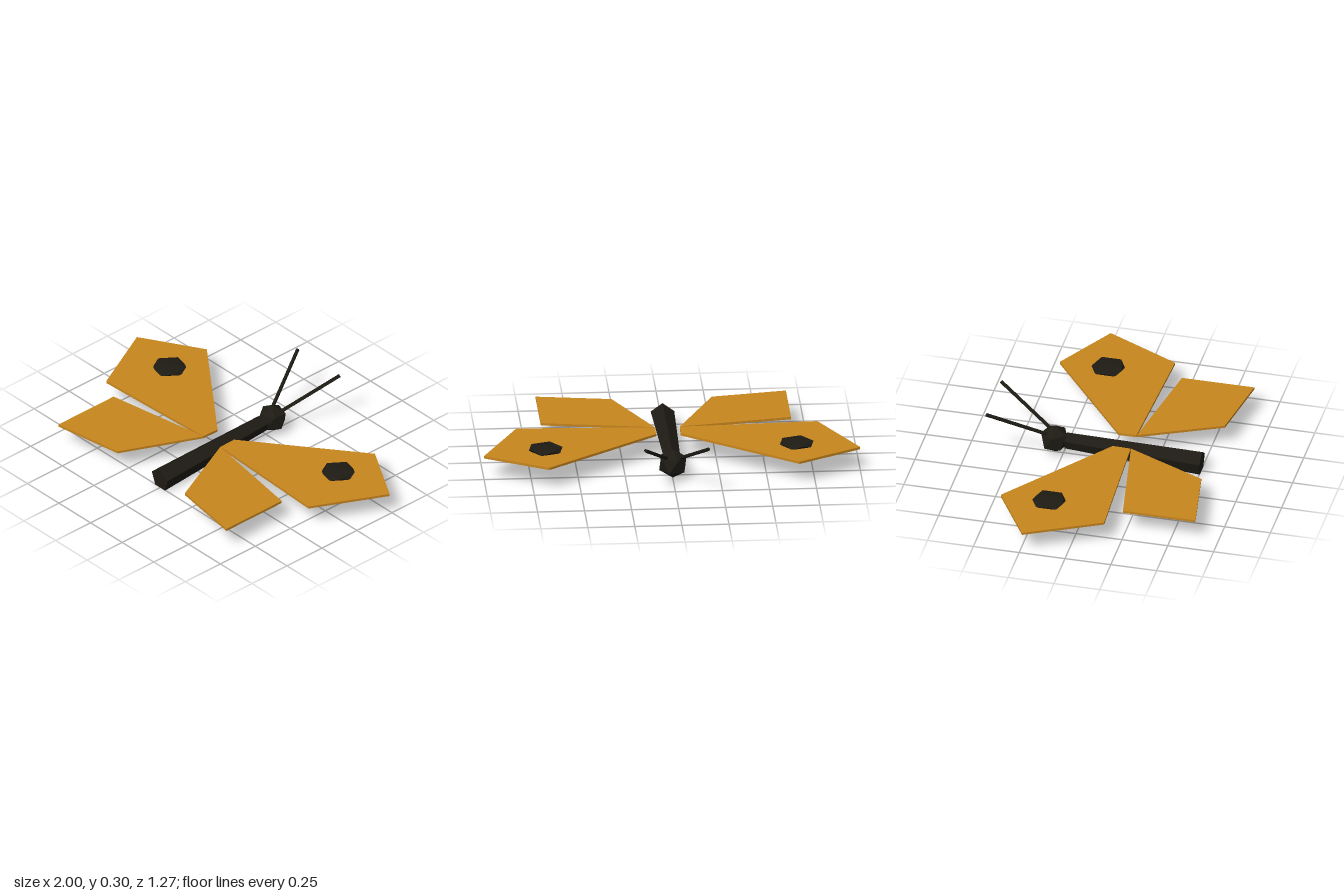
import * as THREE from 'three';

const dark = new THREE.MeshStandardMaterial({ color: 0x1e1b14, flatShading: true });
const amber = new THREE.MeshStandardMaterial({ color: 0xc8861e, flatShading: true });
const V = (x, y, z) => new THREE.Vector3(x, y, z);

const WING_TOP = 0.13, WING_THICKNESS = 0.013;

// Wing outlines as [x, z] for the +x side
const FORE_WING = [[0.065, 0.034], [0.665, -0.431], [1, -0.234], [0.8, 0.165], [0.067, 0.132]];
const HIND_WING = [[0.067, 0.134], [0.665, 0.235], [0.665, 0.63], [0.266, 0.566]];

export function createModel() {
  const model = new THREE.Group();
  model.name = 'butterfly';

  const add = (name, geometry, material) => {
    const mesh = new THREE.Mesh(geometry, material);
    mesh.name = name;
    model.add(mesh);
    return mesh;
  };

  // Tapered rod running from a to b
  const rod = (name, a, b, ra, rb, sides) => {
    const dir = b.clone().sub(a);
    const mesh = add(name, new THREE.CylinderGeometry(rb, ra, dir.length(), sides), dark);
    mesh.position.copy(a).add(b).multiplyScalar(0.5);
    mesh.quaternion.setFromUnitVectors(V(0, 1, 0), dir.normalize());
    return mesh;
  };

  // Twenty-sided ball standing on a corner
  const ball = (name, rx, ry, x, y, z) => {
    const geometry = new THREE.IcosahedronGeometry(1, 0);
    geometry.rotateX(-Math.atan((1 + Math.sqrt(5)) / 2));
    geometry.rotateY(-Math.PI / 2);
    geometry.scale(rx, ry, rx);
    add(name, geometry, dark).position.set(x, y, z);
  };

  // Flat wing panel
  const wing = (name, outline, side) => {
    const shape = new THREE.Shape(outline.map(([x, z]) => new THREE.Vector2(side * x, z)));
    const geometry = new THREE.ExtrudeGeometry(shape, { depth: WING_THICKNESS, bevelEnabled: false });
    geometry.rotateX(Math.PI / 2);
    add(name, geometry, amber).position.y = WING_TOP;
  };

  // Five-sided body with its ridge on top, thicker and lower at the tail
  const tail = V(0, 0.0565, 0.505), neck = V(0, 0.0876, -0.235);
  const body = add('body', new THREE.CylinderGeometry(0.0465, 0.066, tail.distanceTo(neck), 5), dark);
  body.position.copy(tail).add(neck).multiplyScalar(0.5);
  body.rotation.x = -Math.PI / 2 + Math.atan2(neck.y - tail.y, tail.z - neck.z);
  // Roll so that a corner points up
  body.geometry.rotateY(Math.PI);
  body.geometry.computeBoundingBox();
  if (body.geometry.boundingBox.max.z > -body.geometry.boundingBox.min.z) {
    // After the tilt, local +z is up
  } else {
    body.geometry.rotateY(Math.PI);
  }

  ball('head', 0.081, 0.081, 0, 0.088, -0.298);

  // Wings, wing spots and antennae on both sides
  for (const [label, side] of [['left', 1], ['right', -1]]) {
    wing(`${label}ForeWing`, FORE_WING, side);
    wing(`${label}HindWing`, HIND_WING, side);
    ball(`${label}WingSpot`, 0.1, 0.021, side * 0.667, 0.137, -0.167);
    rod(`${label}Antenna`, V(side * 0.027, 0.122, -0.318), V(side * 0.167, 0.29, -0.63), 0.01, 0.01, 5);
  }

  return model;
}
